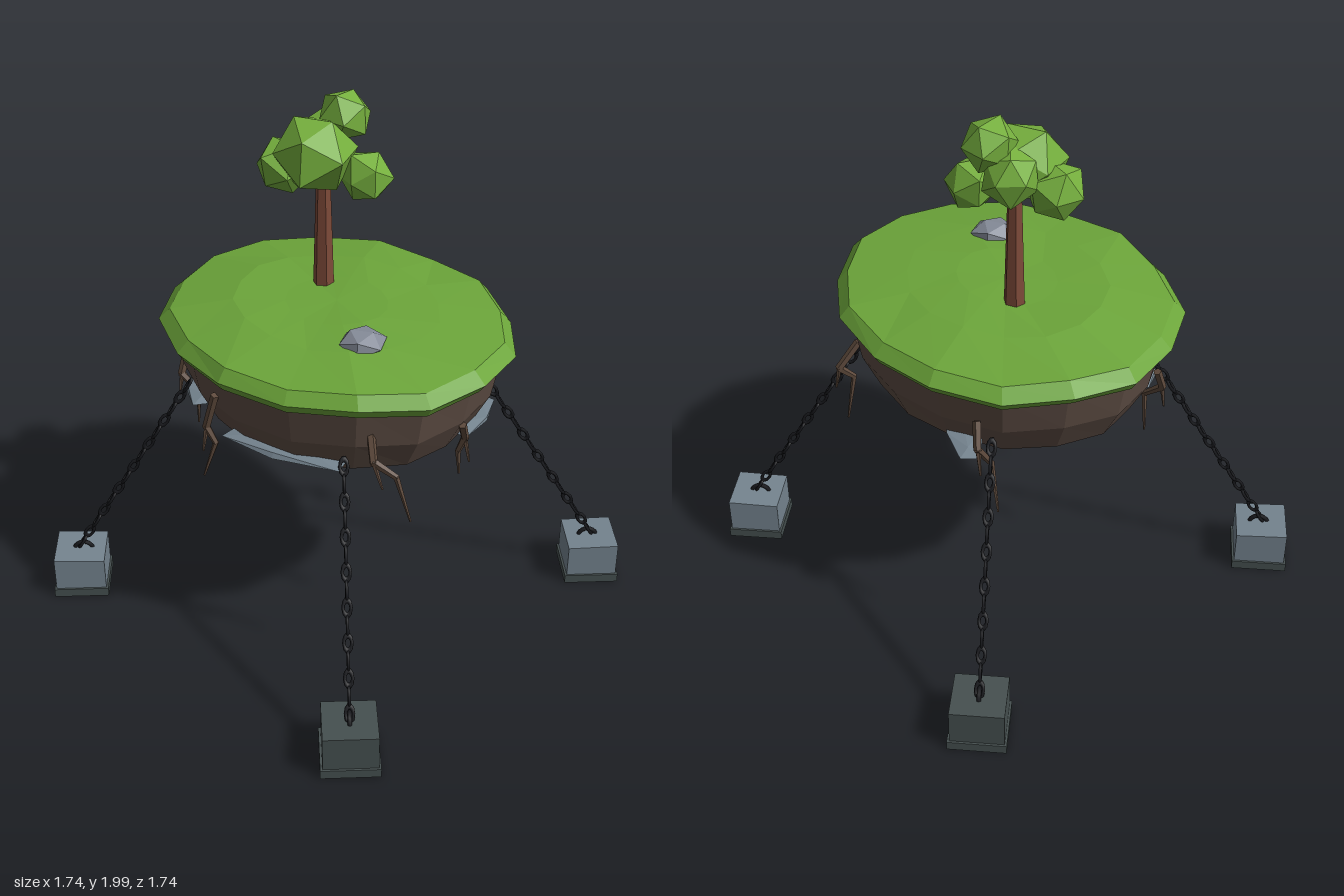
import * as THREE from 'three';

const mat = (name, color) => {
  const m = new THREE.MeshStandardMaterial({ color });
  m.name = name;
  return m;
};

export function createModel() {
  const root = new THREE.Group();
  root.name = 'floatingIsland';
  const grass = mat('grass green', 0x6ca53a);
  const leaf = mat('leaf green', 0x76b03e);
  const soil = mat('soil brown', 0x5e4d44);
  const bark = mat('bark red brown', 0x7d4a39);
  const rootBrown = mat('root brown', 0x5e4a3c);
  const slate = mat('light slate', 0x75848f);
  const darkStone = mat('dark stone', 0x465050);
  const pebble = mat('boulder grey', 0x858b98);
  const iron = mat('chain iron', 0x17181c);

  const V = (x, y, z) => new THREE.Vector3(x, y, z);
  // Faceted copy of a geometry, each vertex shifted by a positional rule
  const facet = (geo, move) => {
    const p = geo.attributes.position, v = V(0, 0, 0);
    for (let i = 0; move && i < p.count; i++) {
      move(v.fromBufferAttribute(p, i));
      p.setXYZ(i, v.x, v.y, v.z);
    }
    const g = geo.index ? geo.toNonIndexed() : geo;
    g.computeVertexNormals();
    return g;
  };
  const add = (name, geo, material, parent = root) => {
    const m = new THREE.Mesh(geo, material);
    m.name = name;
    parent.add(m);
    return m;
  };
  const lathe = (pts, sides, depth, amount) => facet(
    new THREE.LatheGeometry(pts.map(p => new THREE.Vector2(...p)), sides),
    v => {
      const k = 1 + amount * Math.sin(v.x * 9 + v.z * 13);
      v.y += amount * 0.4 * Math.sin(v.x * 11 - v.z * 8);
      v.x *= k;
      v.z *= k * depth;
    });

  // Island: turf cap, earth body and hanging rock tip
  add('turf', lathe([[0.6, 1.16], [0.665, 1.15], [0.69, 1.185], [0.645, 1.23],
    [0.4, 1.265], [0.2, 1.27], [0, 1.27]], 16, 0.87, 0.015), grass);
  add('earth', lathe([[0, 0.87], [0.3, 0.87], [0.535, 0.87], [0.605, 1.0],
    [0.64, 1.17], [0.5, 1.2]], 16, 0.87, 0.012), soil);
  add('rockTip', lathe([[0, 0.7], [0.03, 0.71], [0.14, 0.785], [0.24, 0.83],
    [0.33, 0.885]], 8, 0.78, 0.08), slate);

  // Faceted stones: position, radii, turn
  const stone = (name, pos, size, turn, material) => {
    const m = add(name, facet(new THREE.IcosahedronGeometry(1, 0),
      v => v.multiplyScalar(1 + 0.1 * Math.sin(v.x * 5 + v.y * 9 + v.z * 7 + turn))), material);
    m.position.set(...pos);
    m.scale.set(...size);
    m.rotation.y = turn;
  };
  stone('boulder', [0.27, 1.275, 0.165], [0.085, 0.05, 0.085], 0.5, pebble);
  stone('hangingStone', [-0.37, 0.82, -0.06], [0.048, 0.07, 0.045], 0.4, darkStone);
  stone('hangingStone', [0.25, 0.815, -0.2], [0.036, 0.045, 0.036], 1.2, darkStone);
  stone('hangingStone', [0.36, 0.825, -0.06], [0.052, 0.065, 0.042], 2, slate);
  stone('hangingStone', [0.24, 0.77, -0.19], [0.022, 0.03, 0.028], 0.2, slate);
  // Thin rock shelves showing at the lower edge of the earth
  [[0.14, 0.91, 0.445, 0.27, 0.26], [-0.37, 0.893, 0.34, 0.13, -0.75],
    [0.49, 0.893, -0.2, 0.16, 1.85], [-0.25, 0.9, -0.4, 0.18, 2.6]]
    .forEach(([x, y, z, len, turn]) =>
      stone('rockShelf', [x, y, z], [len, 0.017, 0.07], turn, slate));

  // Tree
  const trunk = add('trunk', facet(new THREE.CylinderGeometry(0.025, 0.04, 0.5, 6)), bark);
  trunk.position.set(-0.138, 1.5, -0.078);
  [[-0.13, 1.815, -0.02, 0.15], [-0.11, 1.91, -0.165, 0.1], [-0.25, 1.725, 0.01, 0.108],
    [0, 1.71, -0.15, 0.1], [-0.19, 1.82, -0.14, 0.105]]
    .forEach(([x, y, z, r], i) => stone('foliage', [x, y, z], [r, r, r], i * 1.3 + 0.4, leaf));

  // Roots: bent, tapering limbs around the earth
  const limb = (a, b, r0, r1, parent) => {
    const d = b.clone().sub(a);
    const m = add('rootSegment', facet(new THREE.CylinderGeometry(r1, r0, d.length() + 0.008, 5)),
      rootBrown, parent);
    m.position.copy(a).add(b).multiplyScalar(0.5);
    m.quaternion.setFromUnitVectors(V(0, 1, 0), d.normalize());
  };
  [
    [[-0.1, 1.06, 0.53], [-0.14, 0.92, 0.54], [-0.105, 0.86, 0.53], [-0.14, 0.72, 0.56]],
    [[0.46, 1.05, 0.33], [0.5, 0.97, 0.36], [0.57, 0.92, 0.32], [0.62, 0.75, 0.3]],
    [[0.6, 0.99, 0], [0.59, 0.92, -0.03], [0.57, 0.86, -0.02], [0.57, 0.76, -0.03]],
    [[0.29, 1.03, -0.47], [0.32, 0.93, -0.54], [0.3, 0.88, -0.49], [0.31, 0.7, -0.52]],
    [[-0.36, 1.03, -0.43], [-0.4, 0.95, -0.46], [-0.4, 0.86, -0.4], [-0.46, 0.69, -0.42]],
    [[-0.5, 0.98, 0.3], [-0.5, 0.9, 0.33], [-0.43, 0.84, 0.31], [-0.45, 0.69, 0.3]],
  ].forEach(path => {
    const g = new THREE.Group();
    g.name = 'hangingRoot';
    root.add(g);
    const p = path.map(q => V(...q));
    [[0.016, 0.015], [0.015, 0.011], [0.011, 0.004]]
      .forEach(([r0, r1], i) => limb(p[i], p[i + 1], r0, r1, g));
    // Short side shoot
    limb(p[1], p[1].clone().lerp(p[2], 0.3).add(V(p[1].x * 0.05, -0.07, p[1].z * 0.05)), 0.01, 0.004, g);
  });

  // Four anchors: weight, base plate, staple and chain
  const linkGeo = new THREE.TorusGeometry(0.014, 0.006, 6, 10).scale(1, 1.9, 1);
  for (const sx of [-1, 1]) for (const sz of [-1, 1]) {
    const anchor = new THREE.Group();
    anchor.name = 'anchor';
    anchor.position.set(sx * 0.72, 0, sz * 0.72);
    anchor.rotation.y = Math.atan2(-sz, sx);
    root.add(anchor);
    add('basePlate', new THREE.BoxGeometry(0.212, 0.035, 0.212), darkStone, anchor)
      .position.y = 0.0275;
    add('weight', facet(new THREE.BoxGeometry(0.196, 0.135, 0.196),
      v => { v.y += v.y > 0 ? 0.03 * v.x : 0; }),
      sx === sz ? darkStone : slate, anchor).position.y = 0.11;
    add('staple', new THREE.TorusGeometry(0.035, 0.009, 6, 10, Math.PI), iron, anchor)
      .position.set(-0.01, 0.165, 0);

    const chain = new THREE.Group();
    chain.name = 'chain';
    root.add(chain);
    const a = V(sx * 0.715, 0.2, sz * 0.715), b = V(sx * 0.395, 0.92, sz * 0.395);
    const dir = b.clone().sub(a).normalize();
    const side = V(-sz, 0, sx).normalize();
    const basis = new THREE.Matrix4().makeBasis(side, dir, side.clone().cross(dir));
    const count = 15;
    for (let i = 0; i < count; i++) {
      const link = add('chainLink', linkGeo, iron, chain);
      link.position.lerpVectors(a, b, i / (count - 1));
      link.quaternion.setFromRotationMatrix(basis);
      link.rotateY(i % 2 ? Math.PI / 2 : 0);
    }
  }
  return root;
}
